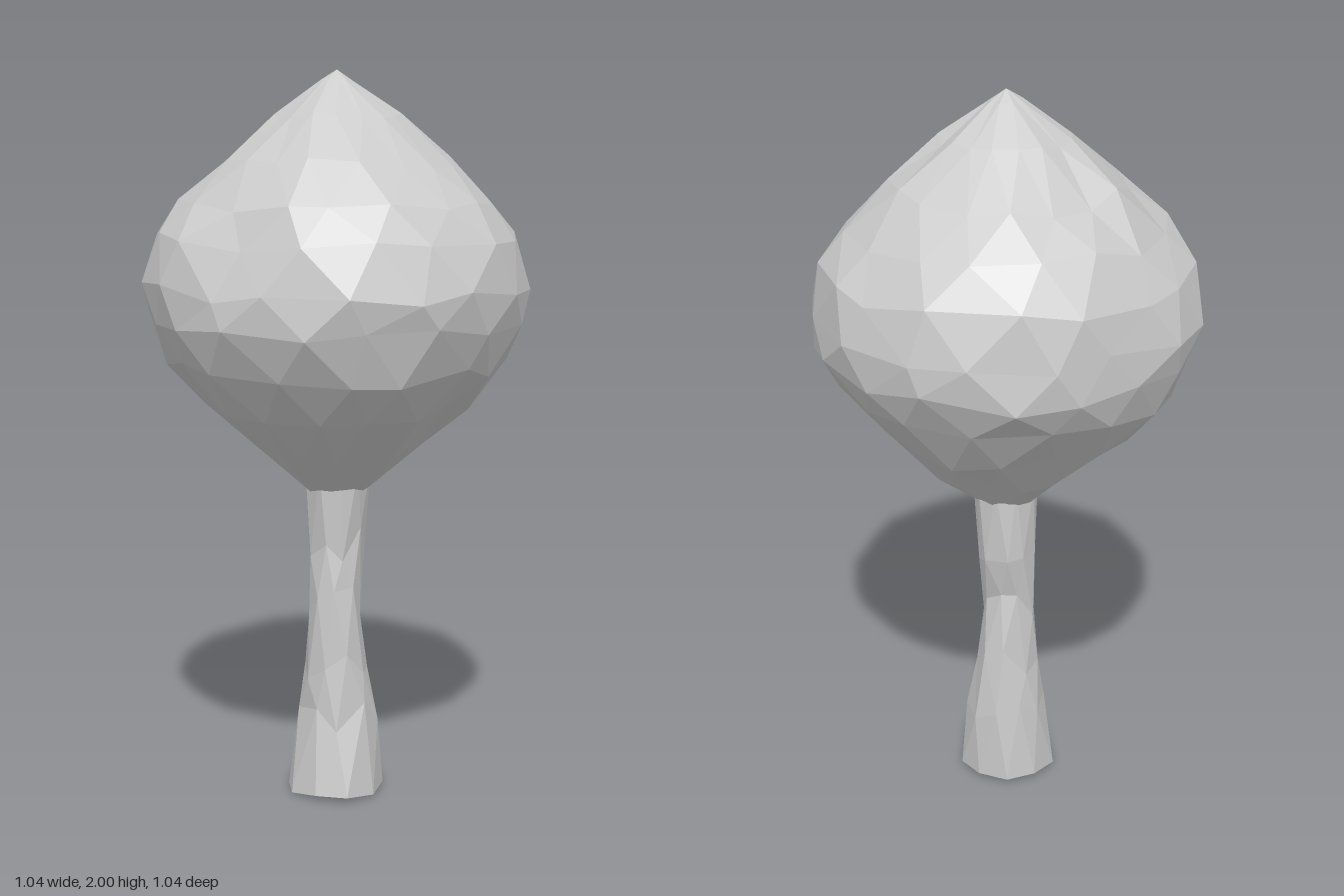
import * as THREE from 'three';

// Small seeded generator, returns -1..1
function seeded(seed) {
  let s = seed;
  return () => {
    s = (s * 16807) % 2147483647;
    return (s / 2147483647) * 2 - 1;
  };
}

// Skin a stack of rings (bottom to top), alternating rows staggered by half a step.
// Each ring is an array of Vector3; both ends are closed with a fan to a centre point.
function loft(rings, bottom, top) {
  const n = rings[0].length;
  const points = [...rings.flat(), bottom, top];
  const index = [];
  const at = (i, j) => i * n + (j % n);
  for (let i = 0; i < rings.length - 1; i++) {
    for (let j = 0; j < n; j++) {
      const a = at(i, j), b = at(i, j + 1), c = at(i + 1, j), d = at(i + 1, j + 1);
      if (i % 2) index.push(a, d, b, a, c, d);
      else index.push(a, c, b, b, c, d);
    }
  }
  const last = rings.length - 1;
  for (let j = 0; j < n; j++) {
    index.push(points.length - 2, at(0, j), at(0, j + 1));
    index.push(points.length - 1, at(last, j + 1), at(last, j));
  }
  const geometry = new THREE.BufferGeometry().setFromPoints(points);
  geometry.setIndex(index);
  const flat = geometry.toNonIndexed();
  flat.computeVertexNormals();
  return flat;
}

const material = new THREE.MeshStandardMaterial({ color: 0xcccccc, flatShading: true });

// Leafy crown: onion-shaped profile of [radius, height], with uneven facets and two dents
function makeCrown() {
  const profile = [
    [0.09, 0.875], [0.23, 0.995], [0.36, 1.11], [0.46, 1.225], [0.51, 1.34], [0.522, 1.43],
    [0.49, 1.56], [0.42, 1.66], [0.31, 1.765], [0.17, 1.88], [0.045, 1.97],
  ];
  const sides = 17;
  const rand = seeded(71);
  const dents = [new THREE.Vector3(-0.3, 1.52, 0.38), new THREE.Vector3(-0.27, 1.45, -0.45)];
  const rings = profile.map(([r, y], i) => {
    const wobble = Math.min(1, r / 0.3);
    return Array.from({ length: sides }, (_, j) => {
      const a = ((j + (i % 2) / 2 + rand() * 0.2 * wobble) / sides) * Math.PI * 2;
      const radius = r * (1 + rand() * 0.017);
      const p = new THREE.Vector3(
        Math.cos(a) * radius, y + rand() * 0.022 * wobble, Math.sin(a) * radius);
      for (const dent of dents) {
        const depth = 0.045 * Math.max(0, 1 - p.distanceTo(dent) / 0.16);
        p.x *= 1 - depth / r;
        p.z *= 1 - depth / r;
      }
      return p;
    });
  });
  return loft(rings, new THREE.Vector3(0, 0.87, 0), new THREE.Vector3(0, 2, 0));
}

// Trunk: flared foot, narrow waist, slightly bent; rows of [height, radius, x, z]
function makeTrunk() {
  const rows = [
    [0.01, 0.134, 0, -0.005], [0.22, 0.108, 0.005, -0.02], [0.38, 0.09, 0, -0.012],
    [0.55, 0.074, -0.006, -0.008], [0.72, 0.08, 0, -0.022], [0.93, 0.09, 0.005, -0.012],
  ];
  const sides = 9;
  const rand = seeded(19);
  const rings = rows.map(([y, r, x, z], i) =>
    Array.from({ length: sides }, (_, j) => {
      const a = ((j + (i % 2) * 0.35 + rand() * 0.12) / sides) * Math.PI * 2;
      const radius = r * (1 + rand() * 0.06);
      const lift = i === 0 ? rand() * 0.008 : i < 5 ? rand() * 0.05 : 0;
      return new THREE.Vector3(x + Math.cos(a) * radius, y + lift, z + Math.sin(a) * radius);
    }));
  return loft(rings, new THREE.Vector3(0, 0, 0), new THREE.Vector3(0, 0.94, -0.01));
}

export function createModel() {
  const tree = new THREE.Group();
  tree.name = 'tree';
  for (const [name, geometry] of [['trunk', makeTrunk()], ['crown', makeCrown()]]) {
    const mesh = new THREE.Mesh(geometry, material);
    mesh.name = name;
    tree.add(mesh);
  }
  return tree;
}
